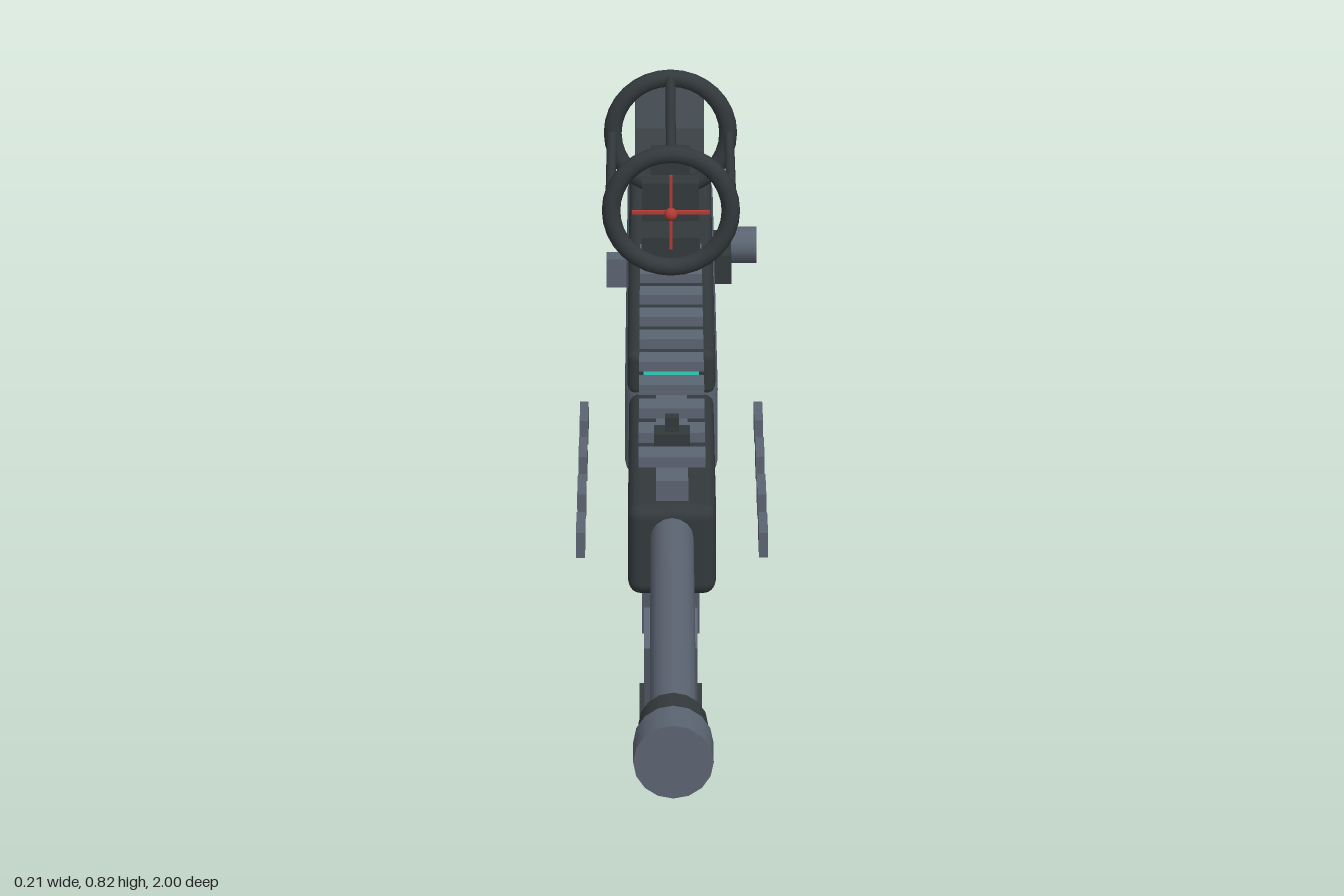
import * as THREE from 'three';
import { RoundedBoxGeometry } from 'three/addons/geometries/RoundedBoxGeometry.js';

const material = (color) => new THREE.MeshStandardMaterial({ color });

export function createModel() {
  const model = new THREE.Group();
  model.name = 'rifle';
  const metal = material(0x5b6472);
  const dark = material(0x33393c);
  const stockGrey = material(0x434b50);
  const teal = material(0x2fd0b8);
  const red = material(0xb03a34);

  const add = (name, geometry, mat, x, y, z) => {
    const mesh = new THREE.Mesh(geometry, mat);
    mesh.name = name;
    mesh.position.set(x, y, z);
    model.add(mesh);
    return mesh;
  };
  // Box with its centre, size, tilt about x and optional rounded edges
  const box = (name, mat, [x, y, z], [w, h, d], tilt = 0, radius = 0) => {
    const geometry = radius ? new RoundedBoxGeometry(w, h, d, 2, radius) : new THREE.BoxGeometry(w, h, d);
    const mesh = add(name, geometry, mat, x, y, z);
    mesh.rotation.x = tilt;
    return mesh;
  };
  // Cylinder along z between two z values
  const rod = (name, mat, x, y, z0, z1, r, sides = 16) =>
    add(name, new THREE.CylinderGeometry(r, r, z1 - z0, sides).rotateX(Math.PI / 2), mat, x, y, (z0 + z1) / 2);

  // Receiver and its top cover
  box('receiver', metal, [0, 0.543, -0.268], [0.108, 0.126, 0.716], 0, 0.018);
  box('topCover', dark, [0, 0.612, -0.25], [0.102, 0.058, 0.68], 0, 0.012);
  box('indicatorLight', teal, [0, 0.62, 0.075], [0.064, 0.011, 0.04]);

  // Handguard, gas tube, barrel and muzzle
  box('handguard', dark, [0, 0.535, 0.222], [0.098, 0.108, 0.412], 0, 0.015);
  box('gasTube', metal, [0, 0.602, 0.235], [0.036, 0.024, 0.35]);
  rod('barrel', metal, 0, 0.553, 0.4, 0.95, 0.024);
  rod('muzzleCollar', dark, 0, 0.553, 0.91, 0.955, 0.036);
  rod('muzzle', metal, 0, 0.553, 0.952, 1.0, 0.041);

  // Side plates standing off the handguard
  for (const side of [-1, 1]) {
    for (let i = 0; i < 4; i++) {
      box('sidePlate', metal, [side * 0.102, 0.532, 0.37 - i * 0.11], [0.01, 0.03, 0.06]);
    }
  }

  // Rail teeth and sights
  for (let i = 0; i < 10; i++) {
    box('railTooth', metal, [0, 0.648, 0.422 - i * 0.071], [0.074, 0.012, 0.031]);
  }
  box('frontSightBase', dark, [0, 0.65, 0.39], [0.04, 0.035, 0.028]);
  box('frontSightPost', dark, [0, 0.666, 0.39], [0.015, 0.036, 0.014]);
  box('rearSight', dark, [0, 0.655, -0.525], [0.05, 0.036, 0.022]);

  // Open scope: two mounts, two rings and three rods
  for (const z of [-0.17, -0.36]) {
    box('scopeMount', dark, [0, 0.664, z], [0.07, 0.052, 0.028]);
  }
  for (const z of [-0.128, -0.405]) {
    add('scopeRing', new THREE.TorusGeometry(0.071, 0.011, 10, 32), dark, 0, 0.735, z);
  }
  for (const [x, y] of [[-0.072, 0.735], [0.072, 0.735], [0, 0.806]]) {
    rod('scopeRod', dark, x, y, -0.405, -0.128, 0.006, 8);
  }
  box('crosshairHorizontal', red, [0, 0.735, -0.122], [0.092, 0.004, 0.004]);
  box('crosshairVertical', red, [0, 0.735, -0.122], [0.004, 0.092, 0.004]);
  add('crosshairDot', new THREE.SphereGeometry(0.008, 12, 8), red, 0, 0.735, -0.115);

  // Controls on the receiver sides
  box('ejectionPort', dark, [0.062, 0.572, -0.405], [0.026, 0.038, 0.09]);
  const handle = add('chargingHandle', new THREE.CylinderGeometry(0.023, 0.023, 0.046, 12), metal, 0.084, 0.577, -0.435);
  handle.rotation.z = Math.PI / 2;
  box('selector', metal, [-0.065, 0.531, -0.468], [0.03, 0.038, 0.025]);

  // Stock with a buffer tube, cheek rest, butt and lower strut
  rod('bufferTube', metal, 0, 0.54, -0.93, -0.6, 0.022);
  box('stockArm', stockGrey, [0, 0.574, -0.83], [0.074, 0.044, 0.33]);
  box('cheekRest', stockGrey, [0, 0.612, -0.8], [0.088, 0.04, 0.17]);
  box('butt', stockGrey, [0, 0.504, -0.944], [0.08, 0.18, 0.06]);
  box('buttPad', stockGrey, [0, 0.506, -0.985], [0.092, 0.178, 0.03]);
  box('stockStrut', stockGrey, [0, 0.447, -0.823], [0.08, 0.037, 0.255], -0.2);

  // Grip and trigger
  box('grip', stockGrey, [0, 0.35, -0.487], [0.074, 0.188, 0.076], 0.22, 0.01);
  box('triggerGuard', dark, [0, 0.452, -0.408], [0.07, 0.015, 0.065], 0.15);
  box('trigger', dark, [0, 0.455, -0.408], [0.015, 0.045, 0.018], 0.2);

  // Curved magazine in stepped segments
  const segments = [
    [0.35, -0.33, 0.076, 0.165, 0.113, 0.06],
    [0.207, -0.298, 0.072, 0.145, 0.108, 0.2],
    [0.096, -0.247, 0.066, 0.125, 0.092, 0.34],
  ];
  for (const [y, z, w, h, d, tilt] of segments) {
    box('magazineSegment', metal, [0, y, z], [w, h, d], tilt);
  }
  box('magazineBase', dark, [0, 0.027, -0.22], [0.078, 0.02, 0.105], 0.34);

  return model;
}
